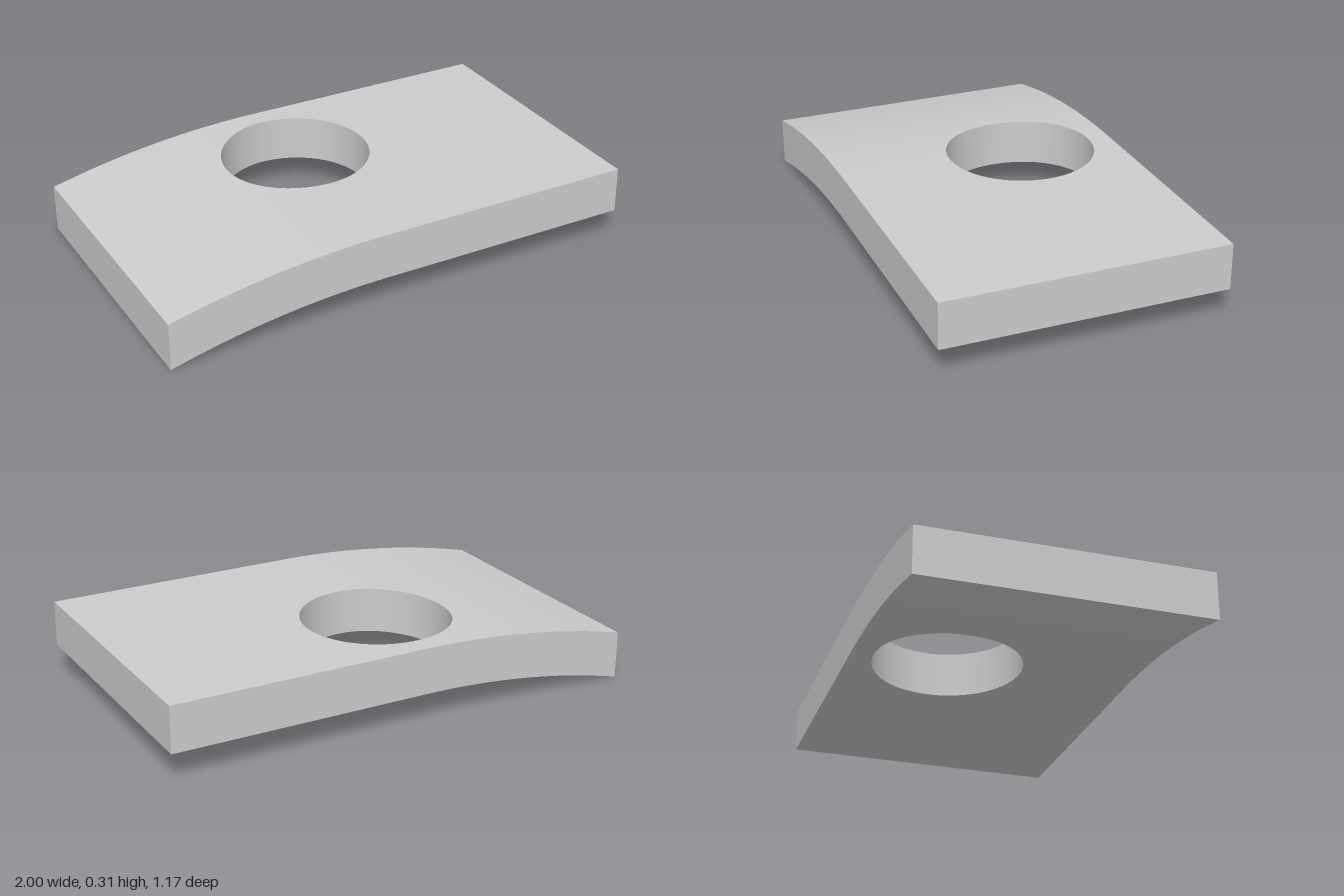
import * as THREE from 'three';
import { toCreasedNormals } from 'three/addons/utils/BufferGeometryUtils.js';

const HALF_Z = 0.585;                          // half depth of the plate
const HOLE = { x: -0.08, z: -0.186, r: 0.308 };
const BEND_X = -0.08;                          // left of this the plate curves down
const BOTTOM = 0.122, TOP = 0.313, RADIUS = 3.53;
const SIDE_STEPS = 32, RADIAL_STEPS = 14;

// Height of a face: flat on one side, concentric arc on the other
function height(x, level) {
  const r = RADIUS + level - BOTTOM;
  const d = Math.max(0, BEND_X - x);
  return level - r + Math.sqrt(r * r - d * d);
}

// Rays from the hole centre to the rectangle, hitting every corner
function makeRays() {
  const corners = [[1, -HALF_Z], [1, HALF_Z], [-1, HALF_Z], [-1, -HALF_Z]];
  const angles = corners.map(([x, z]) => Math.atan2(z - HOLE.z, x - HOLE.x));
  const rays = [];
  for (let k = 0; k < 4; k++) {
    const a = angles[k];
    let b = angles[(k + 1) % 4];
    while (b < a) b += Math.PI * 2;
    for (let i = 0; i < SIDE_STEPS; i++) {
      const t = a + (b - a) * i / SIDE_STEPS;
      const c = Math.cos(t), s = Math.sin(t);
      const reachX = ((c > 0 ? 1 : -1) - HOLE.x) / c;
      const reachZ = ((s > 0 ? HALF_Z : -HALF_Z) - HOLE.z) / s;
      rays.push({ c, s, reach: Math.min(reachX, reachZ) });
    }
  }
  return rays;
}

// Closed loft: hole wall, top face, outer wall, bottom face
function makePlateGeometry() {
  const rays = makeRays(), n = rays.length;
  const section = [];
  for (let i = 0; i <= RADIAL_STEPS; i++) section.push([i / RADIAL_STEPS, TOP]);
  for (let i = RADIAL_STEPS; i >= 0; i--) section.push([i / RADIAL_STEPS, BOTTOM]);

  const positions = [], index = [];
  section.forEach(([f, level], j) => {
    const next = (j + 1) % section.length;
    rays.forEach(({ c, s, reach }, i) => {
      const d = HOLE.r + (reach - HOLE.r) * f;
      const x = HOLE.x + c * d;
      positions.push(x, height(x, level), HOLE.z + s * d);
      const i2 = (i + 1) % n;
      const a = j * n + i, a2 = j * n + i2, b = next * n + i, b2 = next * n + i2;
      index.push(a, a2, b, a2, b2, b);
    });
  });
  const geometry = new THREE.BufferGeometry();
  geometry.setAttribute('position', new THREE.Float32BufferAttribute(positions, 3));
  geometry.setIndex(index);
  return toCreasedNormals(geometry, 0.6);
}

export function createModel() {
  const group = new THREE.Group();
  group.name = 'bentPlate';
  const grey = new THREE.MeshStandardMaterial({ color: 0xcccccc });
  grey.name = 'light grey';
  const plate = new THREE.Mesh(makePlateGeometry(), grey);
  plate.name = 'plateWithHole';
  group.add(plate);
  return group;
}
